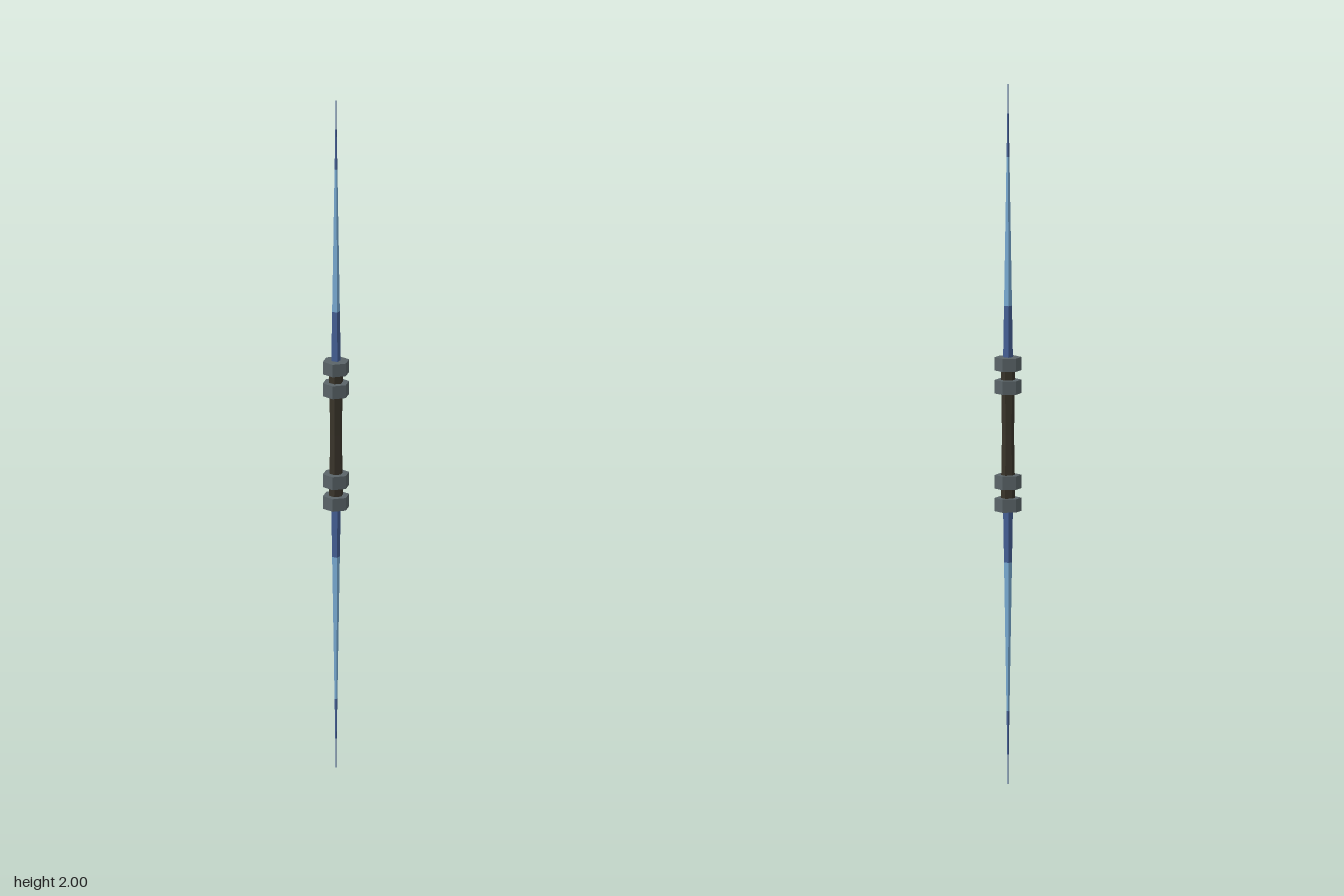
import * as THREE from 'three';

function material(name, color) {
  const m = new THREE.MeshStandardMaterial({ color, flatShading: true });
  m.name = name;
  return m;
}

export function createModel() {
  const group = new THREE.Group();
  const gripBrown = material('dark brown grip', 0x39342a);
  const steel = material('grey steel', 0x5a6468);
  const darkBlue = material('dark blue', 0x445e94);
  const lightBlue = material('light blue', 0x78aad2);

  // Faceted section between two heights; six-sided ones point along x
  const section = (parent, name, mat, y0, y1, r0, r1, sides, capped) => {
    const start = sides === 6 ? Math.PI / 6 : 0;
    const geo = new THREE.CylinderGeometry(r1, r0, y1 - y0, sides, 1, !capped, start);
    const mesh = new THREE.Mesh(geo, mat);
    mesh.name = name;
    mesh.position.y = (y0 + y1) / 2;
    parent.add(mesh);
  };

  // Each half is built upward from the middle of the grip
  const bladeRadius = (y) => 0.0135 * (1 - y) / 0.8;
  for (const side of ['upper', 'lower']) {
    const half = new THREE.Group();
    half.name = side + 'Half';
    half.position.y = 1;
    if (side === 'lower') half.rotation.x = Math.PI;

    // Slightly waisted grip
    section(half, 'grip', gripBrown, 0, 0.2, 0.0165, 0.02, 6, true);

    // Pair of hexagonal collars
    section(half, 'innerCollar', steel, 0.112, 0.149, 0.037, 0.037, 6, true);
    section(half, 'outerCollar', steel, 0.175, 0.211, 0.037, 0.037, 6, true);

    // Four-sided spike in three colour bands, tapering to a point
    const bands = [
      ['spikeBase', darkBlue, 0.2, 0.352],
      ['spikeMiddle', lightBlue, 0.352, 0.76],
      ['spikeTip', darkBlue, 0.76, 1],
    ];
    for (const [name, mat, y0, y1] of bands) {
      section(half, name, mat, y0, y1, bladeRadius(y0), bladeRadius(y1), 4, false);
    }
    group.add(half);
  }
  return group;
}
